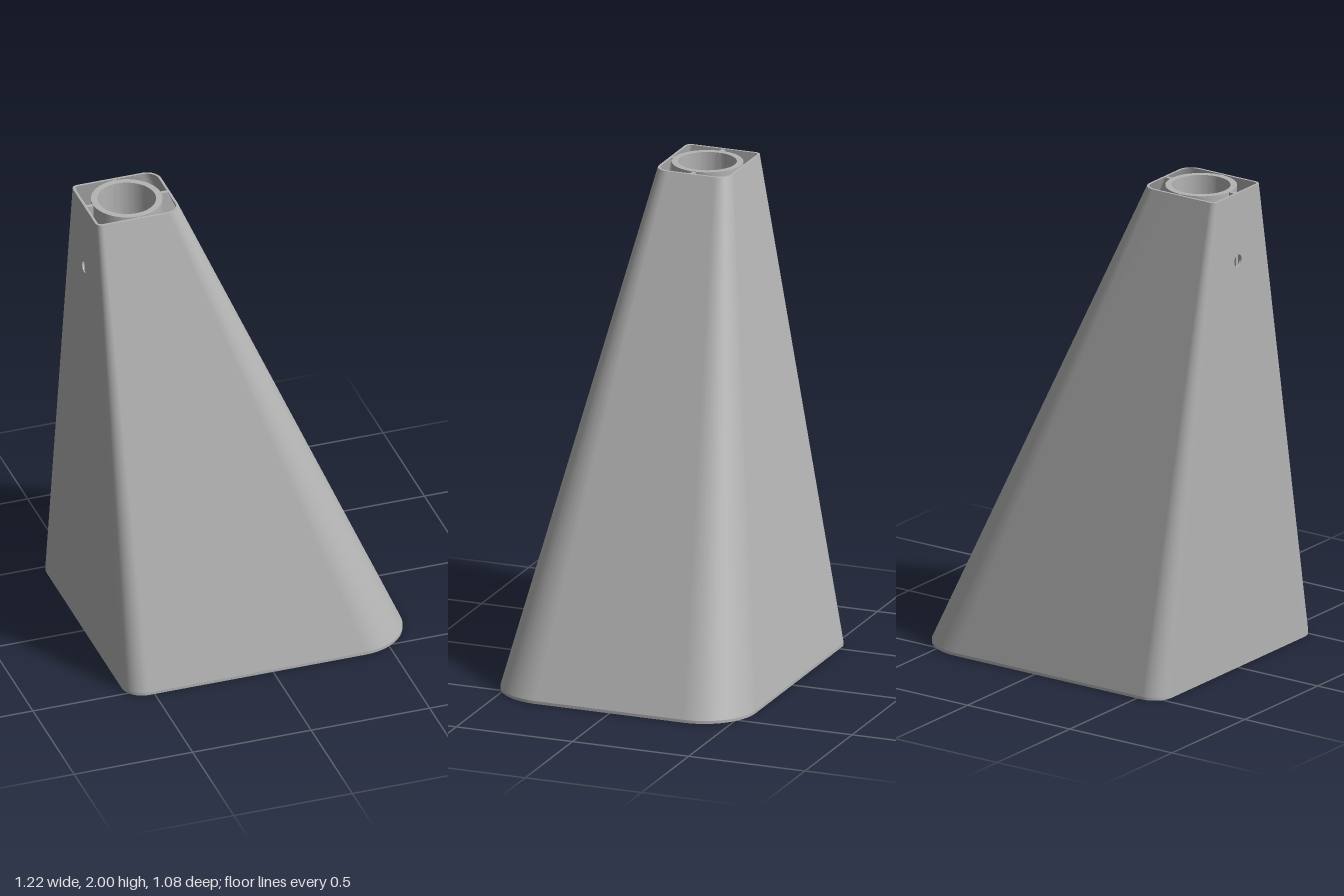
import * as THREE from 'three';
import { toCreasedNormals } from 'three/addons/utils/BufferGeometryUtils.js';

const H = 2, LIP = 0.012, WALL = 0.01;
const TUBE = { x: -0.43, outer: 0.143, inner: 0.117, bottom: 1.5 };
const BASE = { x0: -0.61, x1: 0.61, z: 0.54, rBack: 0.085, rFront: 0.22 };
const TOP = { x0: -0.61, x1: -0.25, z: 0.16, rBack: 0.025, rFront: 0.06 };

// Rounded outline inset by d, left open along the flat back (-x) side
function ring(s, d, n = 12) {
  const pts = [];
  const corner = (sx, sz, r, start) => {
    const cx = sx < 0 ? s.x0 + r : s.x1 - r;
    const cz = sz * (s.z - r);
    const rr = Math.max(r - d, 0.004);
    for (let i = 0; i <= n; i++) {
      const a = start + (i / n) * Math.PI / 2;
      pts.push(new THREE.Vector2(cx + rr * Math.cos(a), cz + rr * Math.sin(a)));
    }
  };
  corner(-1, -1, s.rBack, Math.PI);
  corner(1, -1, s.rFront, Math.PI * 1.5);
  corner(1, 1, s.rFront, 0);
  corner(-1, 1, s.rBack, Math.PI / 2);
  return pts;
}

// Smooth skin between two outlines
function strip(a, ya, b, yb) {
  const pos = [], idx = [];
  a.forEach((p, i) => {
    pos.push(p.x, ya, p.y, b[i].x, yb, b[i].y);
    if (i < a.length - 1) {
      const k = i * 2;
      idx.push(k, k + 1, k + 2, k + 2, k + 1, k + 3);
    }
  });
  const g = new THREE.BufferGeometry();
  g.setAttribute('position', new THREE.Float32BufferAttribute(pos, 3));
  g.setIndex(idx);
  g.computeVertexNormals();
  return g;
}

const shapeOf = (pairs) => new THREE.Shape(pairs.map(([x, y]) => new THREE.Vector2(x, y)));
const extrude = (shape, depth) => toCreasedNormals(
  new THREE.ExtrudeGeometry(shape, { depth, bevelEnabled: false, curveSegments: 48 }), 0.6);

// Full-height web with a slot at the top that leaves room for the tube
function web(b0, b1, t0, t1, c) {
  const r = TUBE.outer - 0.01, y0 = 0.002, y1 = H - 0.002;
  const shape = shapeOf([
    [b0, y0], [b1, y0], [b1, LIP], [t1, y1], [c + r, y1], [c + r, TUBE.bottom],
    [c - r, TUBE.bottom], [c - r, y1], [t0, y1], [b0, LIP],
  ]);
  return extrude(shape, 0.016).translate(0, 0, -0.008);
}

export function createModel() {
  const model = new THREE.Group();
  const grey = new THREE.MeshStandardMaterial({ color: 0xb4b4b4 });
  grey.name = 'plain grey';
  const add = (name, geometry) => {
    const mesh = new THREE.Mesh(geometry, grey);
    mesh.name = name;
    model.add(mesh);
  };

  // Tapered shell: outside, inside and top rim
  const outB = ring(BASE, 0), outT = ring(TOP, 0);
  const inB = ring(BASE, WALL), inT = ring(TOP, WALL);
  add('outerShell', strip(outB, LIP, outT, H));
  add('innerShell', strip(inT, H, inB, LIP));
  add('topRim', strip(outT, H, inT, H));

  // Upright back wall with a screw hole
  const zb = BASE.z - BASE.rBack, zt = TOP.z - TOP.rBack;
  const back = shapeOf([[-zb, LIP], [zb, LIP], [zt, H], [-zt, H]]);
  back.holes.push(new THREE.Path().absarc(0, 1.715, 0.025, 0, Math.PI * 2, true));
  add('backWall', extrude(back, WALL).rotateY(-Math.PI / 2).translate(BASE.x0 + WALL, 0, 0));

  // Base flange with a large opening
  const flange = new THREE.Shape(outB);
  flange.holes.push(new THREE.Path(ring(BASE, 0.08).reverse()));
  add('baseFlange', extrude(flange, LIP).rotateX(Math.PI / 2).translate(0, LIP, 0));

  // Crossing inner webs
  add('lengthwiseWeb', web(-0.605, 0.603, -0.605, -0.256, TUBE.x));
  add('crosswiseWeb', web(-0.534, 0.534, -0.156, 0.156, 0)
    .rotateY(-Math.PI / 2).translate(TUBE.x, 0, 0));

  // Socket tube at the top
  const tube = new THREE.Shape().absarc(0, 0, TUBE.outer, 0, Math.PI * 2, false);
  tube.holes.push(new THREE.Path().absarc(0, 0, TUBE.inner, 0, Math.PI * 2, true));
  add('socketTube', extrude(tube, H - TUBE.bottom).rotateX(Math.PI / 2).translate(TUBE.x, H, 0));

  return model;
}
